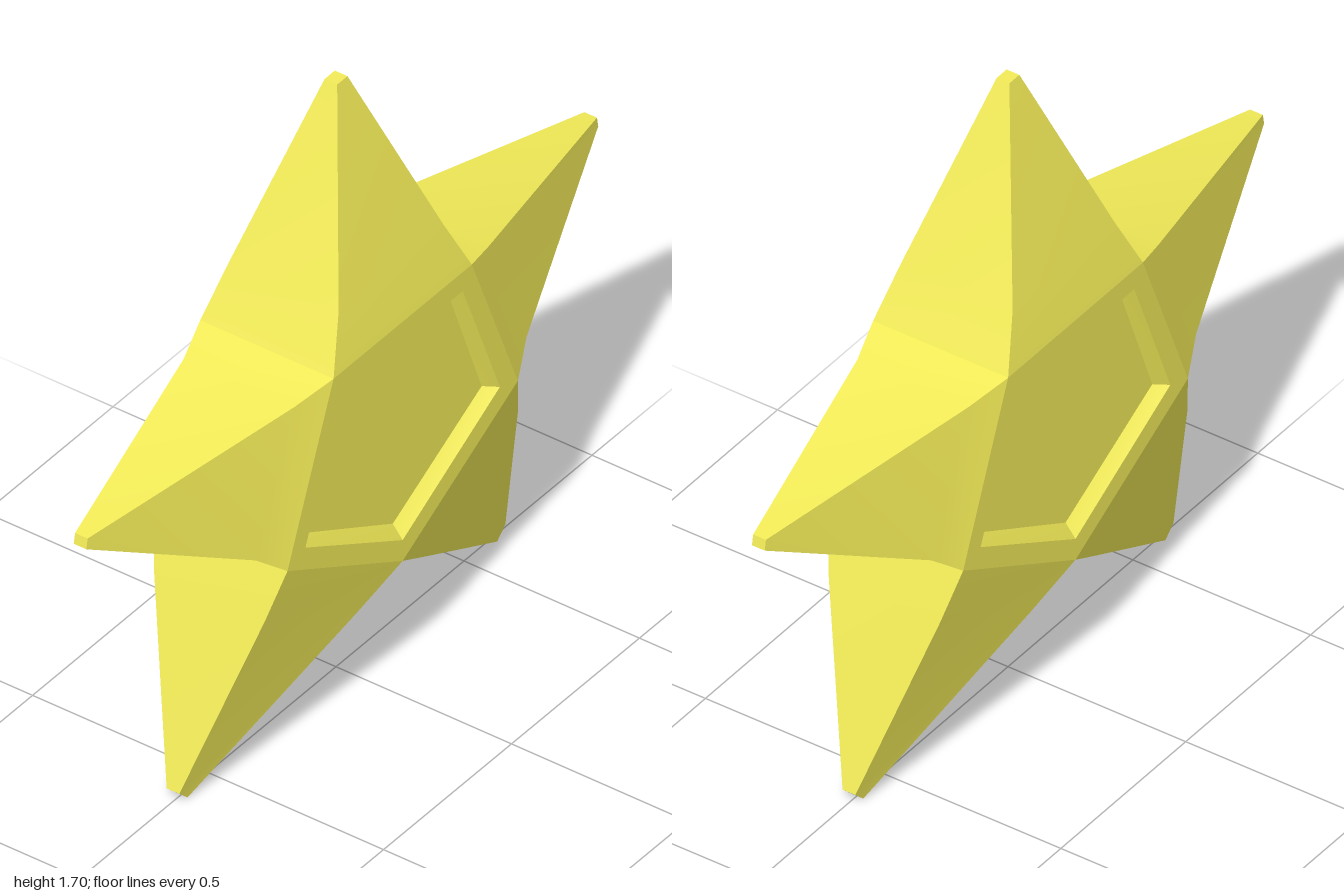
import * as THREE from 'three';
import { toCreasedNormals } from 'three/addons/utils/BufferGeometryUtils.js';

const HALF = 0.19;          // half thickness of the star
const RECESS = 0.028;       // depth of the sunken panel

// Outlines as [z, y], running clockwise seen from +x
const valleys = [[0.27, 1.08], [-0.27, 1.08], [-0.45, 0.635], [0, 0.39], [0.45, 0.635]];
const rim = [[0.235, 1.025], [-0.235, 1.025], [-0.38, 0.66], [0, 0.45], [0.38, 0.66]];
const floor = [[0.22, 1.005], [-0.22, 1.005], [-0.347, 0.67], [0, 0.485], [0.347, 0.67]];

// Shoulder and tip corner pairs of each arm
const topArm = { mid: [[0.205, 1.22], [-0.205, 1.22]], tip: [[0.02, 1.7], [-0.02, 1.7]] };
const sideArm = { mid: [[-0.38, 1.05], [-0.53, 0.7]], tip: [[-0.995, 0.985], [-1, 0.957]] };
const lowerArm = { mid: [[-0.495, 0.5], [-0.13, 0.308]], tip: [[-0.637, 0.03], [-0.605, 0]] };

const mirrorPair = (pair) => [...pair].reverse().map(([z, y]) => [-z, y]);
const mirrorArm = ({ mid, tip }) => ({ mid: mirrorPair(mid), tip: mirrorPair(tip) });
const at = (x, [z, y]) => [x, y, z];

// Mesh from a list of convex polygons
function polygonMesh(name, polygons, material) {
  const positions = [];
  for (const p of polygons) {
    for (let i = 1; i < p.length - 1; i++) positions.push(...p[0], ...p[i], ...p[i + 1]);
  }
  const geometry = new THREE.BufferGeometry();
  geometry.setAttribute('position', new THREE.Float32BufferAttribute(positions, 3));
  const mesh = new THREE.Mesh(toCreasedNormals(geometry, 0.4), material);
  mesh.name = name;
  return mesh;
}

// Tapered arm: rectangular sections from base to shoulder to blunt tip
function arm(name, base, { mid, tip }, material) {
  const section = ([a, b], x) => [at(x, a), at(x, b), at(-x, b), at(-x, a)];
  const rings = [section(base, HALF), section(mid, 0.157), section(tip, 0.018)];
  const polygons = [rings[2]];
  for (let r = 0; r < 2; r++) {
    for (let j = 0; j < 4; j++) {
      const k = (j + 1) % 4;
      polygons.push([rings[r][j], rings[r][k], rings[r + 1][k], rings[r + 1][j]]);
    }
  }
  return polygonMesh(name, polygons, material);
}

// Flat pentagon face with a sunken panel; side is +1 or -1 along x
function face(name, side, material) {
  const x = side * HALF;
  const deep = side * (HALF - RECESS);
  const loops = [valleys.map((p) => at(x, p)), rim.map((p) => at(x, p)), floor.map((p) => at(deep, p))];
  const polygons = [[...loops[2]].reverse()];
  for (let l = 0; l < 2; l++) {
    for (let i = 0; i < 5; i++) {
      const k = (i + 1) % 5;
      polygons.push([loops[l][k], loops[l][i], loops[l + 1][i], loops[l + 1][k]]);
    }
  }
  if (side < 0) polygons.forEach((p) => p.reverse());
  return polygonMesh(name, polygons, material);
}

export function createModel() {
  const group = new THREE.Group();
  group.name = 'star';
  const material = new THREE.MeshStandardMaterial({ color: 0xf3ec58 });

  const arms = [
    ['topArm', topArm],
    ['backArm', sideArm],
    ['lowerBackArm', lowerArm],
    ['lowerFrontArm', mirrorArm(lowerArm)],
    ['frontArm', mirrorArm(sideArm)],
  ];
  arms.forEach(([name, shape], i) => {
    group.add(arm(name, [valleys[i], valleys[(i + 1) % 5]], shape, material));
  });

  group.add(face('leftFace', 1, material), face('rightFace', -1, material));
  return group;
}
